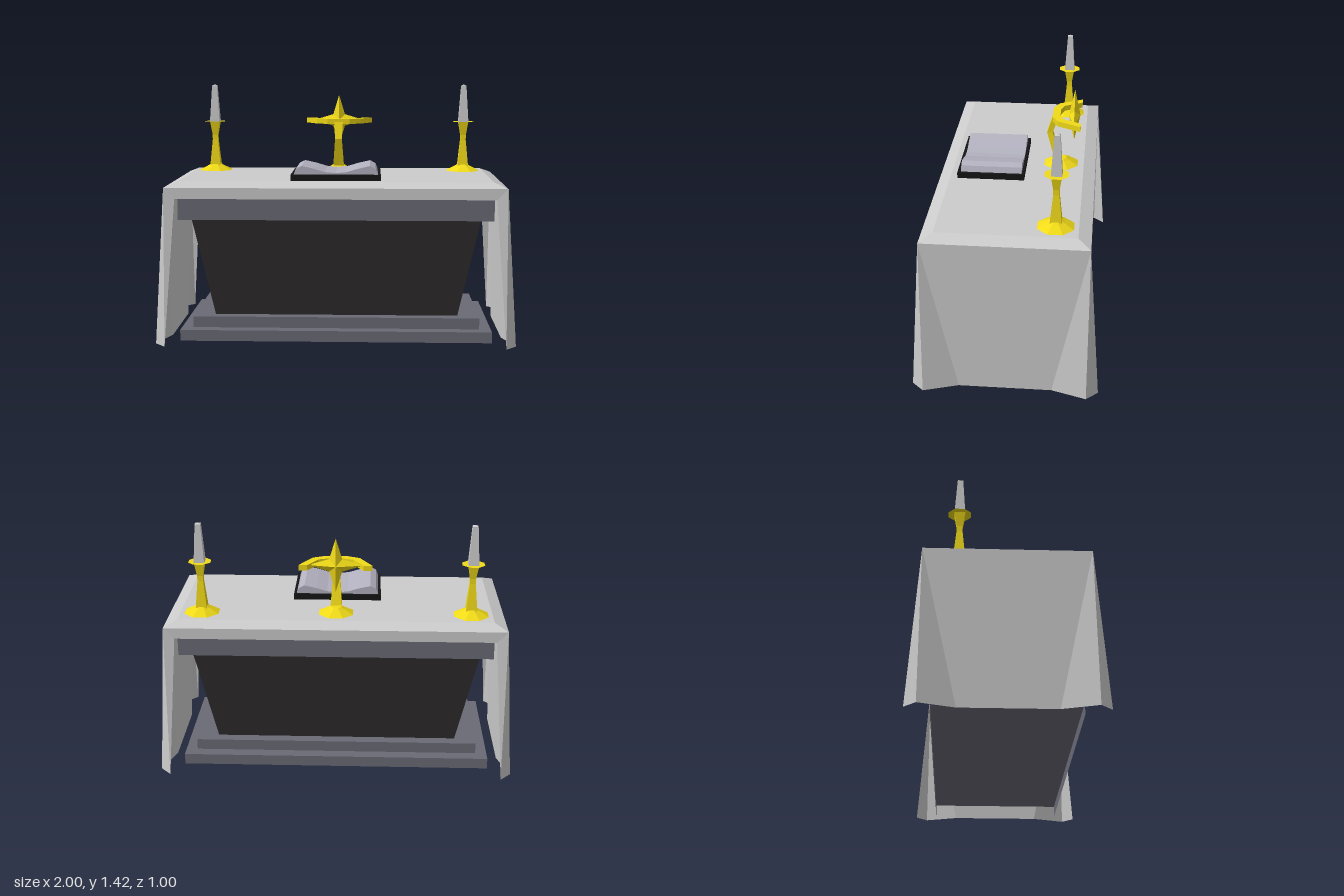
import * as THREE from 'three';

const mat = (color) => new THREE.MeshStandardMaterial({ color, flatShading: true, side: THREE.DoubleSide });
const cloth = mat(0xcccccc), stone = mat(0x6a6a76), dark = mat(0x2e2c2c);
const gold = mat(0xf0da18), black = mat(0x151515), paper = mat(0xb4b2c0);

function add(parent, name, geometry, material, x = 0, y = 0, z = 0) {
  const mesh = new THREE.Mesh(geometry, material);
  mesh.name = name;
  mesh.position.set(x, y, z);
  parent.add(mesh);
  return mesh;
}

// Polygon fans as one flat-faced geometry
function facets(polygons) {
  const pos = [];
  for (const p of polygons)
    for (let i = 1; i < p.length - 1; i++) pos.push(...p[0], ...p[i], ...p[i + 1]);
  const g = new THREE.BufferGeometry();
  g.setAttribute('position', new THREE.Float32BufferAttribute(pos, 3));
  g.computeVertexNormals();
  return g;
}

// Matching front and back walls; each row is [half width, y, half depth]
function walls([x0, y0, z0], [x1, y1, z1]) {
  return [
    [[-x0, y0, z0], [x0, y0, z0], [x1, y1, z1], [-x1, y1, z1]],
    [[x0, y0, -z0], [-x0, y0, -z0], [-x1, y1, -z1], [x1, y1, -z1]],
  ];
}

// Front, top and back boards, open below and at the ends
function channel(x, y0, y1, z) {
  const top = [[-x, y1, z], [x, y1, z], [x, y1, -z], [-x, y1, -z]];
  return facets([...walls([x, y0, z], [x, y1, z]), top]);
}

// Faceted lathe with flat sides facing the axes; radii are measured to the flats
function turned(profile, sides) {
  const k = 1 / Math.cos(Math.PI / sides);
  const pts = profile.map(([r, y]) => new THREE.Vector2(r * k, y));
  return new THREE.LatheGeometry(pts, sides, Math.PI / sides);
}

function shapeOf(points) {
  return new THREE.Shape(points.map(([x, y]) => new THREE.Vector2(x, y)));
}

// One quarter of the draped cloth, mirrored four ways
function clothGeometry() {
  const A = [0.87, 0.905, 0.37], B = [0.94, 0.876, 0.437], I = [0.88, 0.815, 0.437];
  const P = [1, 0, 0.437], Q = [0.94, 0, 0.5], R = [0.94, 0, 0.25];
  const quarter = [
    [[0, 0.905, 0], [0, 0.905, 0.37], A, [0.87, 0.905, 0]],
    [[0, 0.905, 0.37], [0, 0.876, 0.437], B, A],
    [A, B, [0.94, 0.876, 0], [0.87, 0.905, 0]],
    [[0, 0.876, 0.437], [0, 0.815, 0.437], I, B],
    [B, I, Q], [B, Q, P], [B, P, R],
    [B, R, [0.94, 0, 0], [0.94, 0.876, 0]],
  ];
  const all = [];
  for (const sx of [1, -1]) for (const sz of [1, -1])
    for (const poly of quarter) {
      const p = poly.map(([x, y, z]) => [x * sx, y, z * sz]);
      all.push(sx * sz < 0 ? p.reverse() : p);
    }
  return facets(all);
}

const footProfile = [[0, 0.905], [0.095, 0.905], [0.045, 0.932], [0.03, 0.942], [0, 0.942]];

function candlestick(x) {
  const g = new THREE.Group();
  g.name = x > 0 ? 'leftCandlestick' : 'rightCandlestick';
  g.position.set(x, 0, -0.25);
  add(g, 'candleFoot', turned(footProfile, 8), gold);
  add(g, 'candleStem', turned([[0.031, 0.935], [0.016, 1.09], [0.016, 1.12], [0.029, 1.2]], 4), gold);
  // Paper-thin drip pan
  const pan = new THREE.CircleGeometry(0.066, 8, Math.PI / 8);
  pan.rotateX(-Math.PI / 2);
  add(g, 'dripPan', pan, gold, 0, 1.2, 0);
  add(g, 'candle', turned([[0.029, 1.2], [0.015, 1.415], [0, 1.422]], 4), cloth);
  return g;
}

function starOrnament() {
  const g = new THREE.Group();
  g.name = 'starOrnament';
  add(g, 'ornamentFoot', turned(footProfile, 8), gold, 0, 0, -0.24);

  // Bent stem: a box whose rows follow [y, z, half width]
  const rows = [[0.935, -0.22, 0.032], [1.1, -0.173, 0.02], [1.2, -0.205, 0.026]];
  const stem = new THREE.BoxGeometry(2, 2, 2, 1, 2, 1);
  const p = stem.attributes.position;
  for (let i = 0; i < p.count; i++) {
    const [y, z, h] = rows[Math.round(p.getY(i)) + 1];
    p.setXYZ(i, p.getX(i) * h, y, z + p.getZ(i) * 0.016);
  }
  add(g, 'ornamentStem', stem, gold);

  // Curved cradle, drawn in plan (x, z)
  const outer = [[0.2, -0.35], [0.13, -0.22], [0.065, -0.19]];
  const inner = [[0.04, -0.232], [0.095, -0.25], [0.152, -0.35]];
  const flip = (a) => a.map(([x, z]) => [-x, z]).reverse();
  const plan = [...outer, ...flip(outer), ...flip(inner), ...inner];
  const arms = new THREE.ExtrudeGeometry(shapeOf(plan), { depth: 0.03, bevelEnabled: false });
  arms.rotateX(Math.PI / 2);
  add(g, 'cradleArms', arms, gold, 0, 1.218, 0);

  // Four-pointed star with raised centres front and back
  const ring = [];
  for (let i = 0; i < 8; i++) {
    const a = (i * Math.PI) / 4;
    const r = i % 2 ? 0.05 : 0.152;
    ring.push([r * Math.cos(a), r * Math.sin(a), 0]);
  }
  const faces = [];
  ring.forEach((v, i) => {
    const n = ring[(i + 1) % 8];
    faces.push([[0, 0, 0.033], v, n], [[0, 0, -0.033], n, v]);
  });
  add(g, 'star', facets(faces), gold, 0, 1.205, -0.31);
  return g;
}

function book() {
  const g = new THREE.Group();
  g.name = 'openBook';
  add(g, 'bookCover', new THREE.BoxGeometry(0.5, 0.033, 0.375), black, 0, 0.9215, 0.1425);
  // Wavy page block
  const half = [[0.235, 0.937], [0.222, 0.97], [0.19, 0.986], [0.12, 0.97], [0.06, 0.952]];
  const mirrored = half.map(([x, y]) => [-x, y]).reverse();
  const pages = new THREE.ExtrudeGeometry(shapeOf([...half, [0, 0.946], ...mirrored]), { depth: 0.34, bevelEnabled: false });
  add(g, 'bookPages', pages, paper, 0, 0, -0.03);
  return g;
}

export function createModel() {
  const model = new THREE.Group();
  model.name = 'altar';

  // Hollow plinth and table, joined by leaning front and back panels
  add(model, 'lowerStep', channel(0.875, 0, 0.062, 0.375), stone);
  add(model, 'upperStep', channel(0.81, 0.062, 0.125, 0.31), stone);
  add(model, 'bodyPanels', facets(walls([0.69, 0.125, 0.25], [0.81, 0.69, 0.31])), dark);
  add(model, 'tableSlab', channel(0.875, 0.69, 0.825, 0.375), stone);

  add(model, 'altarCloth', clothGeometry(), cloth);

  // Objects on the table
  for (const x of [0.75, -0.75]) model.add(candlestick(x));
  model.add(starOrnament(), book());
  return model;
}
